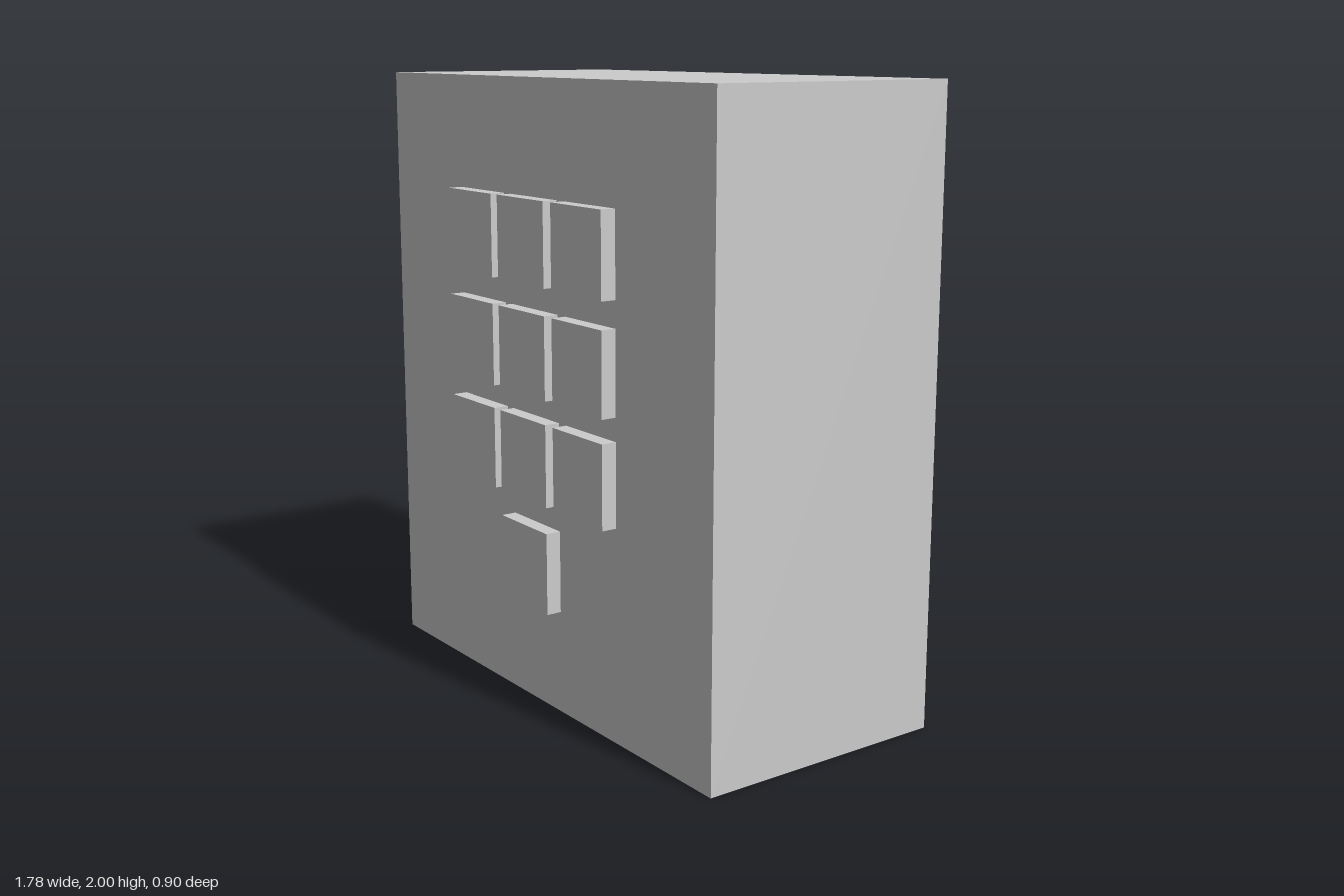
import * as THREE from 'three';

export function createModel() {
  const model = new THREE.Group();
  model.name = 'keypad';
  const material = new THREE.MeshStandardMaterial({ color: 0xcccccc, flatShading: true });

  function addBox(name, parent, size, position) {
    const mesh = new THREE.Mesh(new THREE.BoxGeometry(...size), material);
    mesh.name = name;
    mesh.position.set(...position);
    parent.add(mesh);
  }

  // Housing: plain block standing on the ground
  const frontZ = 0.4, backZ = -0.45;
  addBox('housing', model, [1.776, 2, frontZ - backZ], [0, 1, (frontZ + backZ) / 2]);

  // Keys: three rows of three, and a single key below the middle column
  const keys = new THREE.Group();
  keys.name = 'keys';
  model.add(keys);
  const columns = [-0.318, -0.016, 0.291];
  const rows = [1.505, 1.156, 0.817, 0.468];
  const keySize = 0.265, keyDepth = 0.05;

  rows.forEach((y, r) => {
    columns.forEach((x, c) => {
      if (r === 3 && c !== 1) return;
      addBox(`keyRow${r + 1}Column${c + 1}`, keys,
        [keySize, keySize, keyDepth], [x, y, frontZ + keyDepth / 2]);
    });
  });

  return model;
}
